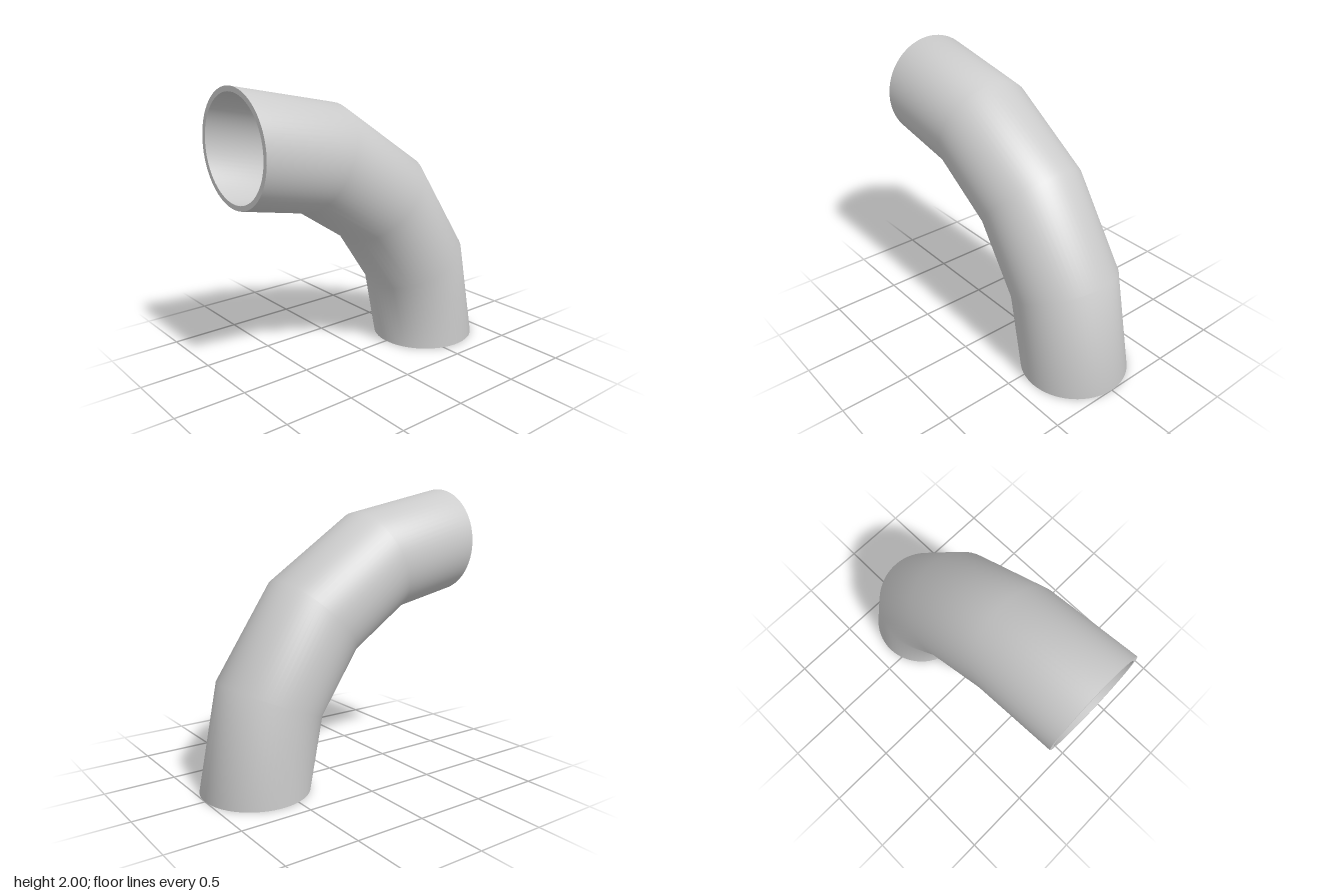
import * as THREE from 'three';

const BEND = 1.622;   // radius of the elbow's centre line
const OUTER = 0.378;  // outside radius of the pipe
const INNER = 0.344;  // inside radius of the pipe
const SIDES = 64;     // round the pipe
const STEPS = 4;      // straight lengths along the bend

export function createModel() {
  const group = new THREE.Group();
  group.name = 'pipeElbow';

  const outside = new THREE.MeshStandardMaterial({ color: 0xcccccc });
  const inside = new THREE.MeshStandardMaterial({ color: 0xcccccc, side: THREE.DoubleSide });

  const add = (name, geometry, material, x, y) => {
    const mesh = new THREE.Mesh(geometry, material);
    mesh.name = name;
    mesh.position.set(x, y, 0);
    group.add(mesh);
  };

  // Quarter bends for the outer and inner walls
  const bend = (radius) => new THREE.TorusGeometry(BEND, radius, SIDES, STEPS, Math.PI / 2);
  add('outerWall', bend(OUTER), outside, -1, 0);
  add('innerWall', bend(INNER), inside, -1, 0);

  // Flat rims closing the wall thickness at both open ends
  const rim = () => new THREE.RingGeometry(INNER, OUTER, SIDES);
  add('bottomRim', rim().rotateX(Math.PI / 2), outside, BEND - 1, 0);
  add('sideRim', rim().rotateY(-Math.PI / 2), outside, -1, BEND);

  return group;
}
